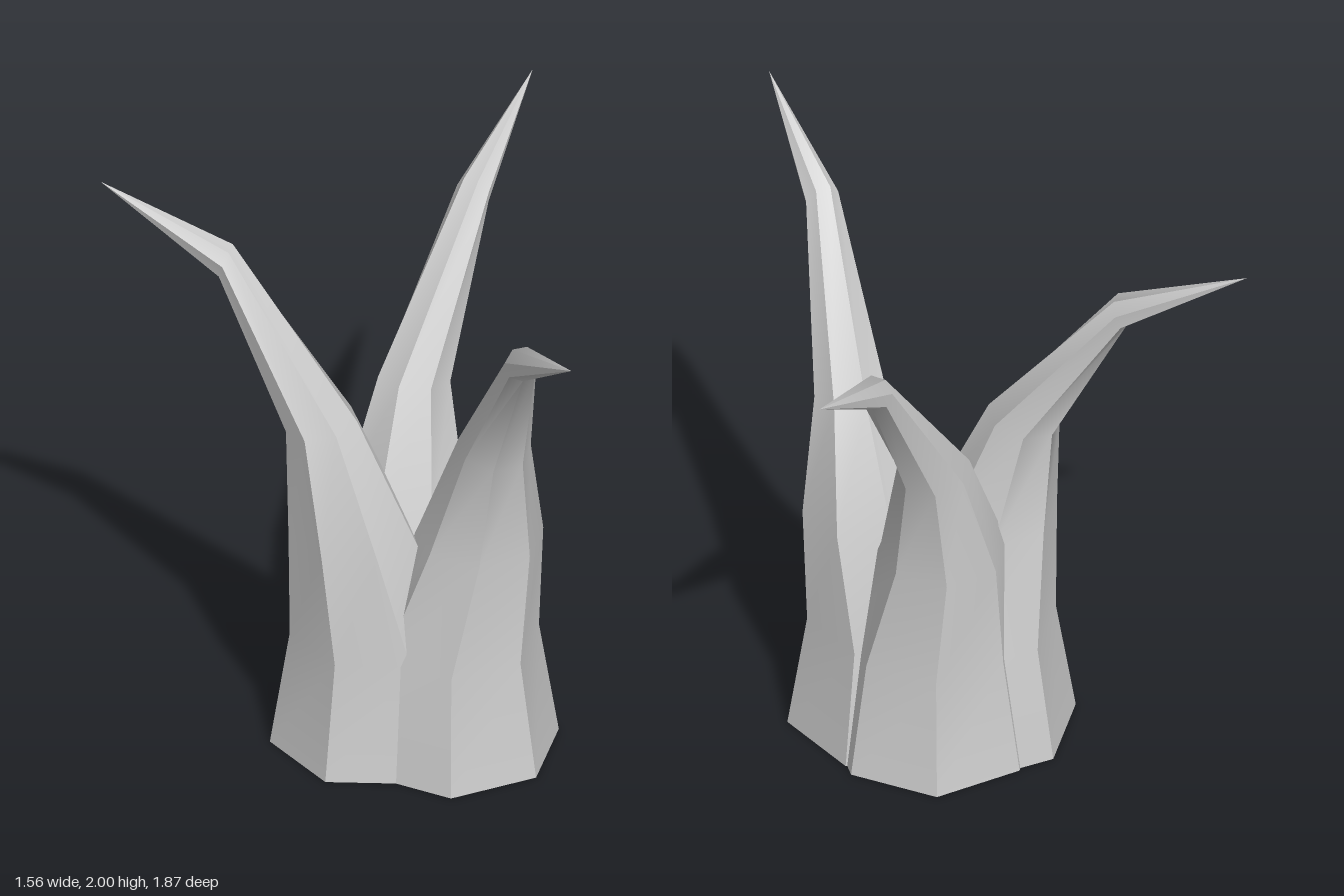
import * as THREE from 'three';
import { toCreasedNormals } from 'three/addons/utils/BufferGeometryUtils.js';

const SIDES = 7;

// Cross-sections of one claw: outward offset, sideways offset, height, radius, tilt and turn (radians)
const RINGS = [
  { out: 0, side: 0, y: 0, radius: 0.357, tilt: 0, turn: 0 },
  { out: 0, side: 0, y: 0.42, radius: 0.29, tilt: 0, turn: 0 },
  { out: 0.065, side: 0.07, y: 0.83, radius: 0.212, tilt: 0, turn: 0 },
  { out: 0.165, side: 0.075, y: 1.23, radius: 0.123, tilt: 0.2, turn: 0 },
  { out: 0.51, side: 0.015, y: 1.772, radius: 0.06, tilt: 1.25, turn: -0.4 },
  { out: 0.944, side: 0, y: 2, radius: 0, tilt: 1.25, turn: 0 },
];

// Lofts the seven-sided sections into a curved spike, open at the bottom; local +x points outward
function clawGeometry() {
  const corner = (ring, i) => {
    const a = ((i + 0.5) / SIDES) * Math.PI * 2 + ring.turn;
    const u = Math.cos(a) * ring.radius;
    return [
      ring.out + u * Math.cos(ring.tilt),
      ring.y - u * Math.sin(ring.tilt),
      -ring.side + Math.sin(a) * ring.radius,
    ];
  };
  const positions = [];
  for (let r = 0; r < RINGS.length - 1; r++) {
    for (let i = 0; i < SIDES; i++) {
      const a = corner(RINGS[r], i);
      const b = corner(RINGS[r], i + 1);
      const c = corner(RINGS[r + 1], i + 1);
      const d = corner(RINGS[r + 1], i);
      positions.push(...a, ...d, ...b);
      if (RINGS[r + 1].radius > 0) positions.push(...b, ...d, ...c);
    }
  }
  const geometry = new THREE.BufferGeometry();
  geometry.setAttribute('position', new THREE.Float32BufferAttribute(positions, 3));
  return toCreasedNormals(geometry, 0.75);
}

export function createModel() {
  const group = new THREE.Group();
  group.name = 'clawCluster';
  const material = new THREE.MeshStandardMaterial({ color: 0xcccccc, side: THREE.DoubleSide });
  const geometry = clawGeometry();

  // Three copies turned around the centre, their bases overlapping
  const claws = [
    { name: 'frontClaw', x: -0.04, z: 0.013, angle: 102.9 },
    { name: 'rightClaw', x: -0.207, z: -0.19, angle: 232.5 },
    { name: 'leftClaw', x: -0.06, z: -0.175, angle: -28 },
  ];
  for (const { name, x, z, angle } of claws) {
    const claw = new THREE.Mesh(geometry, material);
    claw.name = name;
    claw.position.set(x, 0, z);
    claw.rotation.y = -THREE.MathUtils.degToRad(angle);
    group.add(claw);
  }
  return group;
}
